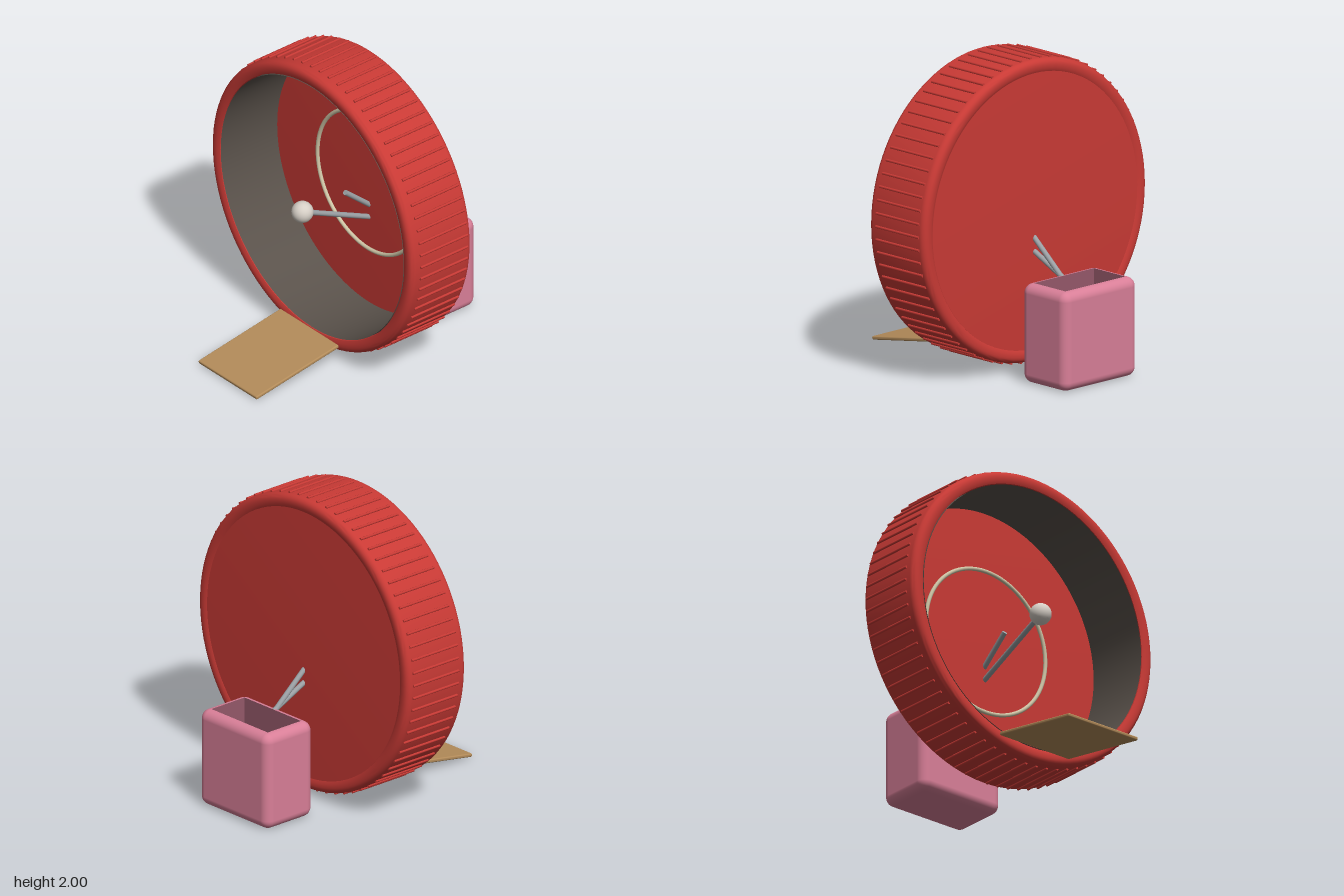
import * as THREE from 'three';
import { toCreasedNormals } from 'three/addons/utils/BufferGeometryUtils.js';
import { RoundedBoxGeometry } from 'three/addons/geometries/RoundedBoxGeometry.js';

const paint = (name, color, side = THREE.FrontSide) => {
  const m = new THREE.MeshStandardMaterial({ color, side });
  m.name = name;
  return m;
};

// Lathe about the z axis; points are [radius, z], counter-clockwise
const turned = (points, segments = 96) =>
  new THREE.LatheGeometry(points.map(([r, z]) => new THREE.Vector2(r, z)), segments).rotateX(Math.PI / 2);

// Removes the flat top face of a box so that it becomes an open container
function withoutTop(source) {
  const geo = source.index ? source.toNonIndexed() : source;
  geo.computeBoundingBox();
  const top = geo.boundingBox.max.y - 1e-4;
  const pos = geo.attributes.position, nor = geo.attributes.normal;
  const p = [], n = [];
  for (let i = 0; i < pos.count; i += 3) {
    if ([0, 1, 2].every((k) => pos.getY(i + k) > top)) continue;
    for (let k = i; k < i + 3; k++) {
      p.push(pos.getX(k), pos.getY(k), pos.getZ(k));
      n.push(nor.getX(k), nor.getY(k), nor.getZ(k));
    }
  }
  const out = new THREE.BufferGeometry();
  out.setAttribute('position', new THREE.Float32BufferAttribute(p, 3));
  out.setAttribute('normal', new THREE.Float32BufferAttribute(n, 3));
  return out;
}

export function createModel() {
  const red = paint('red plastic', 0xc93a35);
  const dark = paint('dark lining', 0x5a524b, THREE.DoubleSide);
  const cream = paint('cream ring', 0xcfc5a6);
  const white = paint('off-white knob', 0xd6cfc6);
  const steel = paint('steel', 0x9a9fa3);
  const pink = paint('pink plastic', 0xd97f98);
  const deepPink = paint('deep pink inside', 0x96596a, THREE.BackSide);
  const tan = paint('tan board', 0xb48c5a);

  const model = new THREE.Group();
  const add = (parent, name, geometry, material, x = 0, y = 0, z = 0) => {
    const mesh = new THREE.Mesh(geometry, material);
    mesh.name = name;
    mesh.position.set(x, y, z);
    parent.add(mesh);
    return mesh;
  };

  // Wheel, centred on its axle
  const axleY = 1.013;
  const wheel = new THREE.Group();
  wheel.name = 'wheel';
  wheel.position.y = axleY;
  model.add(wheel);

  // Rim with rounded outer edges
  const inner = 0.89, outer = 0.974, back = -0.295, front = 0.2, round = 0.04;
  const profile = [[inner, back + 0.01], [inner + 0.02, back]];
  for (let i = 0; i <= 6; i++) {
    const a = -Math.PI / 2 + (i / 6) * (Math.PI / 2);
    profile.push([outer - round + round * Math.cos(a), back + round + round * Math.sin(a)]);
  }
  for (let i = 0; i <= 6; i++) {
    const a = (i / 6) * (Math.PI / 2);
    profile.push([outer - round + round * Math.cos(a), front - round + round * Math.sin(a)]);
  }
  profile.push([inner + 0.02, front], [inner, front - 0.01], [inner, back + 0.01]);
  add(wheel, 'rim', toCreasedNormals(turned(profile), 0.6), red);

  // Back disc, softly shaded over its edge
  add(wheel, 'backDisc', turned([[0, -0.29], [inner, -0.29], [inner, -0.272], [0, -0.272]]), red);

  // Running surface inside the rim
  add(wheel, 'lining', turned([[0.884, -0.272], [0.884, 0.19]]), dark);

  // Grip ridges around the rim
  const ridge = new THREE.CylinderGeometry(0.009, 0.009, 0.385, 8).rotateX(Math.PI / 2);
  const ridgeCount = 72;
  for (let i = 0; i < ridgeCount; i++) {
    const a = (i / ridgeCount) * Math.PI * 2;
    add(wheel, 'ridge', ridge, red, 0.977 * Math.cos(a), 0.977 * Math.sin(a), -0.062);
  }

  // Ring on the disc and knob on the axle
  add(wheel, 'discRing', new THREE.TorusGeometry(0.485, 0.013, 10, 80), cream, 0, 0, -0.265);
  add(wheel, 'knob', new THREE.SphereGeometry(0.07, 32, 20), white, 0, 0, 0.27);

  // Slanted rods from the container to the axle
  const rod = (name, from, to) => {
    const a = new THREE.Vector3(...from), b = new THREE.Vector3(...to);
    const dir = b.clone().sub(a);
    const mesh = add(model, name, new THREE.CylinderGeometry(0.017, 0.017, dir.length(), 16), steel);
    mesh.position.copy(a).add(b).multiplyScalar(0.5);
    mesh.quaternion.setFromUnitVectors(new THREE.Vector3(0, 1, 0), dir.normalize());
  };
  rod('longRod', [0, 0.63, -0.54], [0, axleY, 0.27]);
  rod('shortRod', [0, 0.63, -0.53], [0, axleY, -0.08]);

  // Open container behind the wheel
  const container = new THREE.Group();
  container.name = 'container';
  container.position.set(0, 0.324, -0.69);
  model.add(container);
  add(container, 'containerShell', withoutTop(new RoundedBoxGeometry(0.64, 0.64, 0.4, 6, 0.06)), pink);
  add(container, 'containerInside', withoutTop(new THREE.BoxGeometry(0.52, 0.62, 0.28)), deepPink, 0, 0.01, 0);

  // Ramp leading up to the wheel
  const ramp = add(model, 'ramp', new RoundedBoxGeometry(0.565, 0.024, 0.685, 2, 0.009), tan, 0, 0.074, 0.546);
  ramp.rotation.x = 0.163;

  return model;
}
